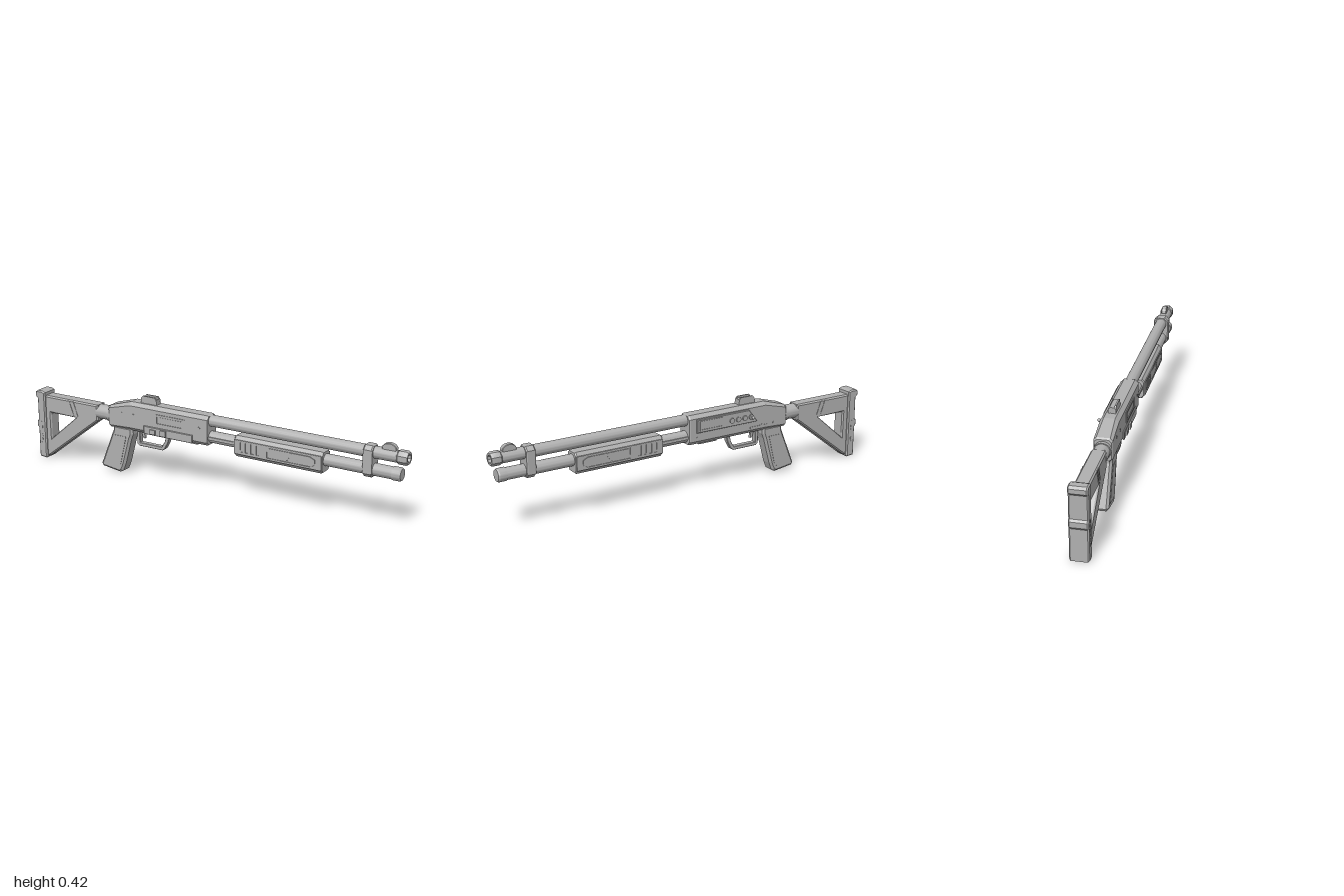
import * as THREE from 'three';
import { toCreasedNormals } from 'three/addons/utils/BufferGeometryUtils.js';

export function createModel() {
  const root = new THREE.Group();
  const model = new THREE.Group();
  model.name = 'pumpGun';
  model.position.z = 0.01;
  root.add(model);

  const grey = new THREE.MeshStandardMaterial({ color: 0xb0b0b0 });
  grey.name = 'grey';

  const add = (name, geo, x = 0, y = 0, z = 0) => {
    const mesh = new THREE.Mesh(geo, grey);
    mesh.name = name;
    mesh.position.set(x, y, z);
    model.add(mesh);
    return mesh;
  };

  const box = (name, x0, x1, y0, y1, z0, z1) =>
    add(name, new THREE.BoxGeometry(x1 - x0, y1 - y0, z1 - z0),
      (x0 + x1) / 2, (y0 + y1) / 2, (z0 + z1) / 2);

  // Side profile extruded from z0 to z1, with bevelled edges kept inside the outline
  const plate = (name, pts, z0, z1, bevel = 0, holes = []) => {
    const toVecs = (list) => list.map(([x, y]) => new THREE.Vector2(x, y));
    const shape = new THREE.Shape(toVecs(pts));
    shape.holes = holes.map((h) => new THREE.Path(toVecs(h)));
    const geo = new THREE.ExtrudeGeometry(shape, {
      depth: z1 - z0 - 2 * bevel, bevelEnabled: bevel > 0, bevelSize: bevel,
      bevelThickness: bevel, bevelOffset: -bevel, bevelSegments: 1,
    });
    return add(name, geo, 0, 0, z0 + bevel);
  };

  // Revolved part along x from [radius, x] pairs
  const turned = (name, pts, y, sides = 24) => {
    const geo = new THREE.LatheGeometry(pts.map(([r, x]) => new THREE.Vector2(r, x)), sides, Math.PI / sides);
    geo.rotateZ(-Math.PI / 2);
    return add(name, toCreasedNormals(geo, 0.5), 0, y, 0);
  };

  // Chamfered box cross-section at x
  const section = (x, y0, y1, w, cy, cz = cy) =>
    [[y0, cz - w], [y0 + cy, -w], [y1 - cy, -w], [y1, cz - w],
      [y1, w - cz], [y1 - cy, w], [y0 + cy, w], [y0, w - cz]].map(([y, z]) => [x, y, z]);

  // Faceted skin through cross-sections ordered along +x
  const loft = (name, secs) => {
    const pos = [];
    const tri = (...p) => p.forEach((v) => pos.push(...v));
    const n = secs[0].length;
    for (let k = 0; k < secs.length - 1; k++) {
      for (let i = 0; i < n; i++) {
        const j = (i + 1) % n, a = secs[k], b = secs[k + 1];
        tri(a[i], a[j], b[j]);
        tri(a[i], b[j], b[i]);
      }
    }
    const first = secs[0], last = secs[secs.length - 1];
    for (let i = 1; i < n - 1; i++) {
      tri(first[0], first[i + 1], first[i]);
      tri(last[0], last[i], last[i + 1]);
    }
    const geo = new THREE.BufferGeometry();
    geo.setAttribute('position', new THREE.Float32BufferAttribute(pos, 3));
    geo.computeVertexNormals();
    return add(name, geo);
  };

  const rect = (x0, x1, y0, y1) => [[x0, y0], [x1, y0], [x1, y1], [x0, y1]];
  // Round stud facing +z or -z
  const stud = (name, x, y, r, z0, z1, sides = 12) => {
    const geo = new THREE.CylinderGeometry(r, r, z1 - z0, sides);
    geo.rotateX(Math.PI / 2);
    add(name, geo, x, y, (z0 + z1) / 2);
  };

  // Stock: open triangular frame, butt pad and connecting tube
  plate('stockFrame', [[-0.95, 0.005], [-0.925, 0.015], [-0.64, 0.235], [-0.62, 0.25], [-0.62, 0.33], [-0.95, 0.33]],
    -0.033, 0.033, 0.007, [[[-0.91, 0.11], [-0.91, 0.243], [-0.755, 0.243]]]);
  plate('buttPad', [[-0.985, 0.004], [-0.945, 0], [-0.938, 0.008], [-0.938, 0.345], [-0.955, 0.352], [-0.985, 0.352],
    [-0.997, 0.342], [-0.997, 0.322], [-0.985, 0.31], [-0.985, 0.2], [-0.993, 0.19], [-0.993, 0.165], [-0.985, 0.155]],
  -0.043, 0.043, 0.006);
  turned('stockTube', [[0, -0.63], [0.036, -0.63], [0.036, -0.54], [0, -0.54]], 0.293);
  turned('stockCollar', [[0, -0.565], [0.04, -0.565], [0.04, -0.545], [0, -0.545]], 0.293);
  for (const s of [-1, 1]) {
    const z = s < 0 ? -0.035 : 0.031;
    plate('stockStripe', [[-0.80, 0.325], [-0.79, 0.325], [-0.765, 0.255], [-0.775, 0.255]], z, z + 0.004);
    plate('stockStripe', [[-0.775, 0.325], [-0.765, 0.325], [-0.74, 0.255], [-0.75, 0.255]], z, z + 0.004);
    for (let i = 0; i < 6; i++) {
      const y = 0.07 + i * 0.022;
      box('buttPadMark', -0.966, -0.958, y, y + 0.013, s * 0.043 - 0.0015, s * 0.043 + 0.0015);
    }
  }

  // Pistol grip with raised side panels
  plate('grip', [[-0.605, 0.035], [-0.598, 0.022], [-0.495, 0.008], [-0.478, 0.017], [-0.462, 0.055],
    [-0.425, 0.19], [-0.415, 0.215], [-0.415, 0.25], [-0.53, 0.25], [-0.53, 0.22]], -0.035, 0.035, 0.011);
  for (const s of [-1, 1]) {
    const z = s < 0 ? -0.037 : 0.034;
    plate('gripPanel', [[-0.575, 0.05], [-0.5, 0.038], [-0.485, 0.055], [-0.45, 0.2], [-0.515, 0.2]], z, z + 0.003);
  }

  // Receiver with sloping rear and chamfered edges
  loft('receiver', [
    section(-0.547, 0.24, 0.34, 0.038, 0.012),
    section(-0.54, 0.237, 0.347, 0.0425, 0.012),
    section(-0.42, 0.237, 0.382, 0.0425, 0.017),
    section(0.006, 0.237, 0.382, 0.0425, 0.017),
    section(0.013, 0.24, 0.379, 0.039, 0.016),
  ]);
  box('loadingGate', -0.15, -0.05, 0.23, 0.245, -0.022, 0.022);

  // Ejection port frame and lower control plate on the front side
  plate('ejectionPortFrame', rect(-0.275, -0.108, 0.293, 0.347), 0.040, 0.046, 0, [rect(-0.263, -0.12, 0.303, 0.337)]);
  plate('ejectionPortCover', rect(-0.25, -0.12, 0.305, 0.335), 0.040, 0.044);
  plate('controlPlate', [[-0.338, 0.24], [-0.065, 0.24], [-0.065, 0.28], [-0.338, 0.28], [-0.338, 0.265]], 0.04, 0.048, 0.002);
  box('controlButton', -0.24, -0.21, 0.246, 0.274, 0.045, 0.056);
  box('controlButton', -0.3, -0.27, 0.246, 0.268, 0.045, 0.054);
  for (const x of [-0.47, -0.4, -0.03]) {
    stud('receiverPin', x, 0.32, 0.006, 0.04, 0.0445);
    stud('receiverPin', x, 0.27, 0.006, -0.0445, -0.04);
  }

  // Carrier plate, studs and knob on the back side
  plate('carrierPlate', [[-0.025, 0.295], [-0.025, 0.36], [-0.32, 0.36], [-0.37, 0.295]], -0.049, -0.04, 0.003);
  plate('carrierFrame', rect(-0.17, -0.04, 0.303, 0.352), -0.052, -0.047, 0, [rect(-0.162, -0.048, 0.31, 0.345)]);
  for (let i = 0; i < 4; i++) {
    const x = -0.331 + i * 0.037;
    stud('carrierStud', x, 0.324, 0.013, -0.055, -0.045);
    if (i === 0) {
      stud('knobStem', x, 0.324, 0.004, -0.066, -0.05, 8);
      const knob = new THREE.SphereGeometry(0.008, 12, 8);
      add('knob', knob, x, 0.324, -0.067);
    }
  }
  box('sideRail', -0.43, -0.33, 0.262, 0.27, -0.045, -0.04);

  // Trigger and guard
  plate('triggerGuard', [[-0.4, 0.245], [-0.4, 0.17], [-0.388, 0.16], [-0.255, 0.16], [-0.242, 0.168], [-0.222, 0.205], [-0.212, 0.245]],
    -0.0135, 0.0135, 0.002, [[[-0.383, 0.235], [-0.235, 0.235], [-0.24, 0.208], [-0.258, 0.177], [-0.383, 0.177]]]);
  plate('trigger', [[-0.38, 0.24], [-0.345, 0.24], [-0.36, 0.222], [-0.358, 0.2], [-0.37, 0.205]], -0.007, 0.007);

  // Rear sight: base between two upright ears
  const ear = [[-0.372, 0.378], [-0.28, 0.378], [-0.283, 0.405], [-0.293, 0.417], [-0.36, 0.417], [-0.37, 0.405]];
  plate('rearSightEar', ear, -0.018, -0.011);
  plate('rearSightEar', ear, 0.011, 0.018);
  box('rearSightBase', -0.37, -0.282, 0.378, 0.409, -0.0115, 0.0115);

  // Barrel with eight-sided muzzle
  turned('barrel', [[0, 0], [0.0275, 0], [0.0275, 0.96], [0, 0.96]], 0.354);
  turned('muzzle', [[0.0275, 0.945], [0.033, 0.952], [0.033, 0.988], [0.029, 0.996], [0.019, 0.996], [0.017, 0.965], [0, 0.965]], 0.354, 8);

  // Magazine tube and end cap
  turned('magazineTube', [[0, 0], [0.028, 0], [0.028, 0.94], [0, 0.94]], 0.275);
  turned('magazineCap', [[0, 0.928], [0.031, 0.928], [0.031, 0.962], [0.027, 0.969], [0, 0.969]], 0.275);
  for (const s of [-1, 1]) box('actionBar', 0, 0.17, 0.268, 0.282, s * 0.029 - 0.003, s * 0.029 + 0.003);

  // Clamp joining barrel and tube
  loft('barrelClamp', [
    section(0.795, 0.245, 0.384, 0.034, 0.018),
    section(0.8, 0.242, 0.387, 0.037, 0.018),
    section(0.834, 0.242, 0.387, 0.037, 0.018),
    section(0.839, 0.245, 0.384, 0.034, 0.018),
  ]);

  // Front sight: rounded blade on a foot
  const blade = [[0.875, 0.375], [0.937, 0.375]];
  for (let i = 0; i <= 8; i++) {
    const a = (Math.PI * i) / 8;
    blade.push([0.906 + 0.034 * Math.cos(a), 0.385 + 0.024 * Math.sin(a)]);
  }
  plate('frontSight', blade, -0.012, 0.012, 0.002);

  // Forend: chamfered core with slotted side plates
  loft('forend', [
    section(0.157, 0.22, 0.313, 0.036, 0.014, 0.012),
    section(0.163, 0.216, 0.317, 0.039, 0.016, 0.012),
    section(0.599, 0.216, 0.317, 0.039, 0.016, 0.012),
    section(0.605, 0.22, 0.313, 0.036, 0.014, 0.012),
  ]);
  const slots = [0, 1, 2, 3].map((i) => rect(0.19 + i * 0.028, 0.205 + i * 0.028, 0.245, 0.291));
  const oval = (g) => [[0.33 + g, 0.242 + g], [0.55 - g, 0.242 + g], [0.575 - g, 0.256 + g / 2],
    [0.575 - g, 0.28 - g / 2], [0.55 - g, 0.294 - g], [0.33 + g, 0.294 - g]];
  for (const s of [-1, 1]) {
    const z = s < 0 ? -0.043 : 0.038;
    plate('forendSide', rect(0.16, 0.602, 0.233, 0.3), z, z + 0.005, 0, [...slots, oval(0)]);
    plate('forendPanel', oval(0.005), z, z + 0.005);
    const zs = s * 0.043;
    plate('forendStripe', [[0.425, 0.249], [0.433, 0.249], [0.458, 0.287], [0.45, 0.287]], zs - 0.0015, zs + 0.0015);
  }

  return root;
}
